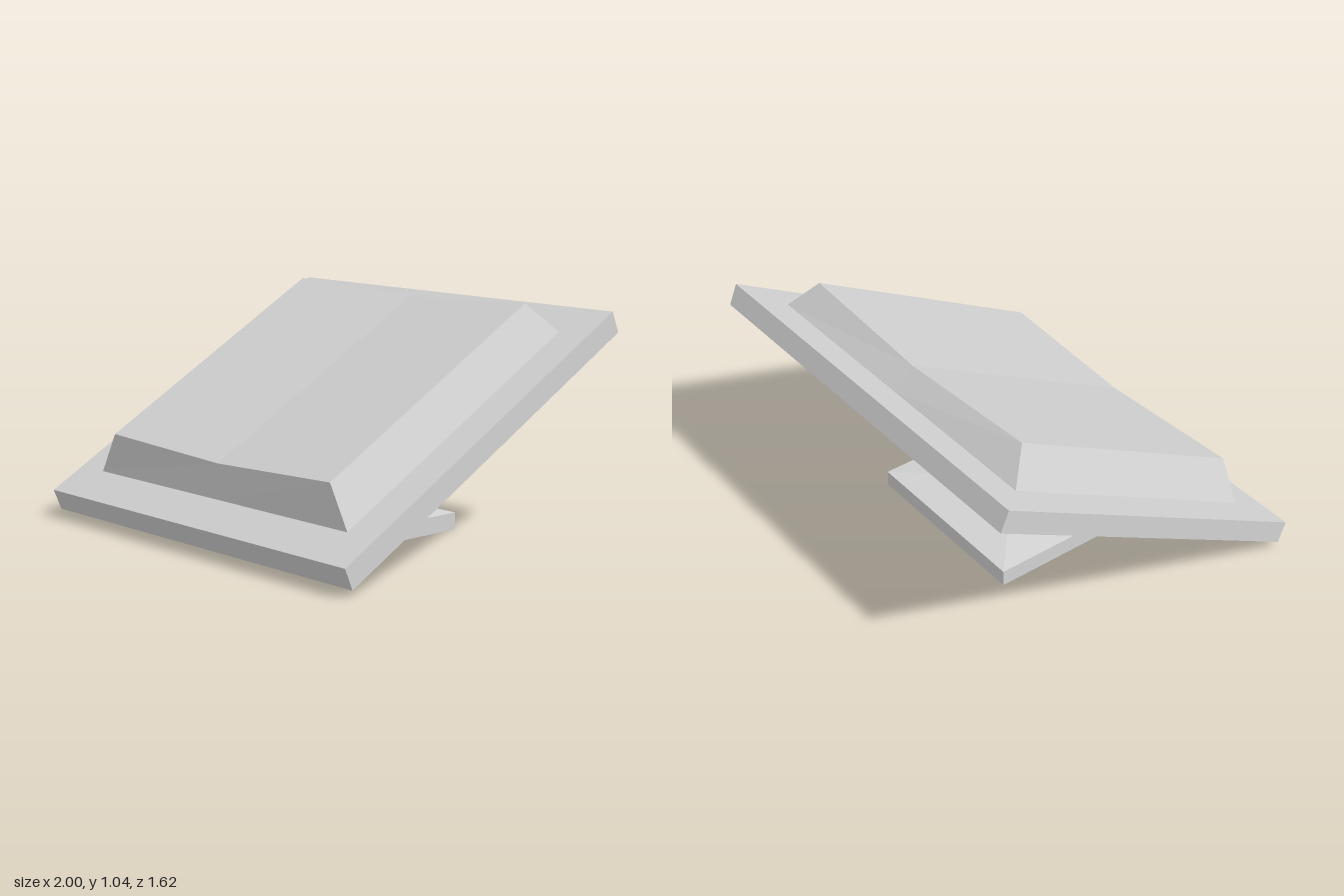
import * as THREE from 'three';

const grey = new THREE.MeshStandardMaterial({ color: 0xd2d2d2, side: THREE.DoubleSide });
grey.name = 'light grey';

// Rectangular loop, counter-clockwise from above; front and back are [z, y]
const rect = (hw, [zf, yf], [zb, yb]) => [
  [-hw, yf, zf], [hw, yf, zf], [hw, yb, zb], [-hw, yb, zb],
];

// Six-point loop with middle points on the front and back edges
const hexa = (hw, [zf, yf], [zb, yb], [mzf, myf], [mzb, myb]) => [
  [0, myf, mzf], [hw, yf, zf], [hw, yb, zb], [0, myb, mzb], [-hw, yb, zb], [-hw, yf, zf],
];

// Join loops from bottom to top with flat faces, optionally closing the ends
function loft(name, loops, capBottom, capTop) {
  const pos = [];
  const tri = (a, b, c) => pos.push(...a, ...b, ...c);
  const n = loops[0].length;
  for (let k = 0; k < loops.length - 1; k++) {
    const a = loops[k], b = loops[k + 1];
    for (let i = 0; i < n; i++) {
      const j = (i + 1) % n;
      tri(a[i], a[j], b[j]);
      tri(a[i], b[j], b[i]);
    }
  }
  const lo = loops[0], hi = loops[loops.length - 1];
  for (let i = 1; i < n - 1; i++) {
    if (capBottom) tri(lo[0], lo[i + 1], lo[i]);
    if (capTop) tri(hi[0], hi[i], hi[i + 1]);
  }
  const geo = new THREE.BufferGeometry();
  geo.setAttribute('position', new THREE.Float32BufferAttribute(pos, 3));
  geo.computeVertexNormals();
  const mesh = new THREE.Mesh(geo, grey);
  mesh.name = name;
  return mesh;
}

export function createModel() {
  const group = new THREE.Group();
  group.name = 'tiltedPanelOnStand';

  // Hollow foot: low walls and a sloping roof, open below
  group.add(loft('foot', [
    rect(0.445, [0.445, 0], [-0.37, 0]),
    rect(0.445, [0.445, 0.078], [-0.37, 0.078]),
    rect(0.18, [0.202, 0.115], [-0.13, 0.115]),
  ], false, false));

  // Hollow post, cut at the slope of the slab
  group.add(loft('post', [
    rect(0.18, [0.202, 0.115], [-0.13, 0.115]),
    rect(0.18, [0.202, 0.346], [-0.13, 0.53]),
  ], false, false));

  // Tilted slab
  group.add(loft('slab', [
    rect(1, [0.772, 0.027], [-0.81, 0.91]),
    rect(1, [0.812, 0.122], [-0.77, 1.005]),
  ], true, true));

  // Raised pad with bevelled sides and a shallow valley down the middle
  group.add(loft('raisedPad', [
    hexa(0.835, [0.648, 0.213], [-0.608, 0.914], [0.648, 0.213], [-0.608, 0.914]),
    hexa(0.733, [0.65, 0.402], [-0.497, 1.04], [0.638, 0.371], [-0.512, 1.01]),
  ], false, true));

  return group;
}
